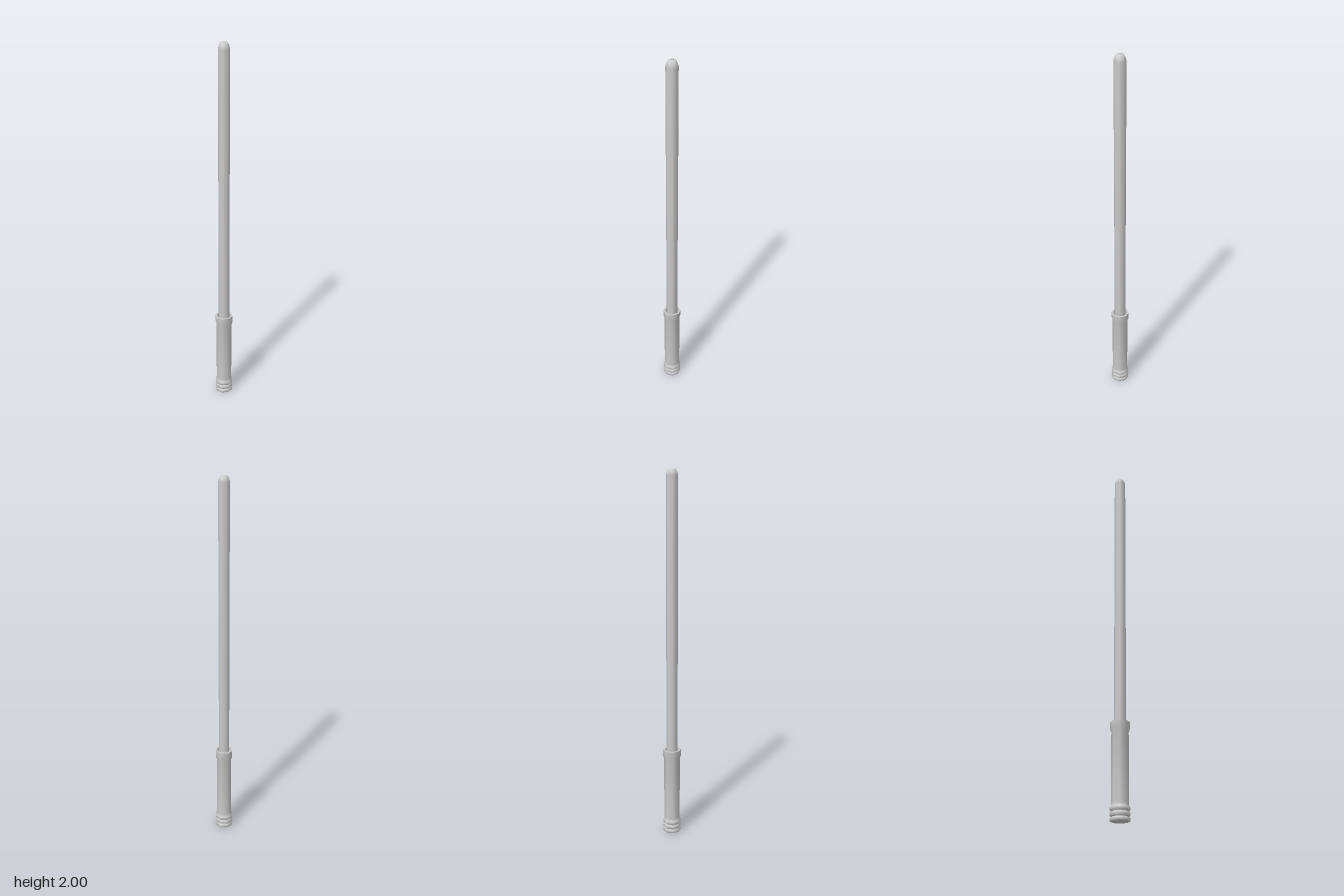
import * as THREE from 'three';
import { toCreasedNormals } from 'three/addons/utils/BufferGeometryUtils.js';

const SIDES = 8;

// Eight-sided turned part from [radius, height] pairs, listed bottom to top
function turned(name, profile, crease) {
  let geometry = new THREE.LatheGeometry(profile.map(([r, y]) => new THREE.Vector2(r, y)), SIDES);
  if (crease) geometry = toCreasedNormals(geometry, crease);
  const mesh = new THREE.Mesh(geometry, new THREE.MeshStandardMaterial({ color: 0xcccccc }));
  mesh.name = name;
  return mesh;
}

export function createModel() {
  const model = new THREE.Group();
  model.name = 'glowSword';

  // Grip: closed base, three ridges, straight body, flared collar and hollow socket
  const grip = [[0, 0], [0.046, 0]];
  for (let i = 0; i < 3; i++) {
    const y = 0.004 + i * 0.026;
    grip.push([0.05, y], [0.05, y + 0.012], [0.044, y + 0.019]);
  }
  grip.push(
    [0.044, 0.085], [0.044, 0.44], [0.05, 0.46], [0.05, 0.495],
    [0.04, 0.495], [0.038, 0.47], [0, 0.47],
  );
  model.add(turned('grip', grip, Math.PI / 3));

  // Blade: long shaft with a narrowed tip, shaded smoothly from end to end
  model.add(turned('blade', [
    [0, 0.465], [0.031, 0.465], [0.031, 1.97], [0.027, 1.985], [0.019, 2], [0, 2],
  ]));

  return model;
}
